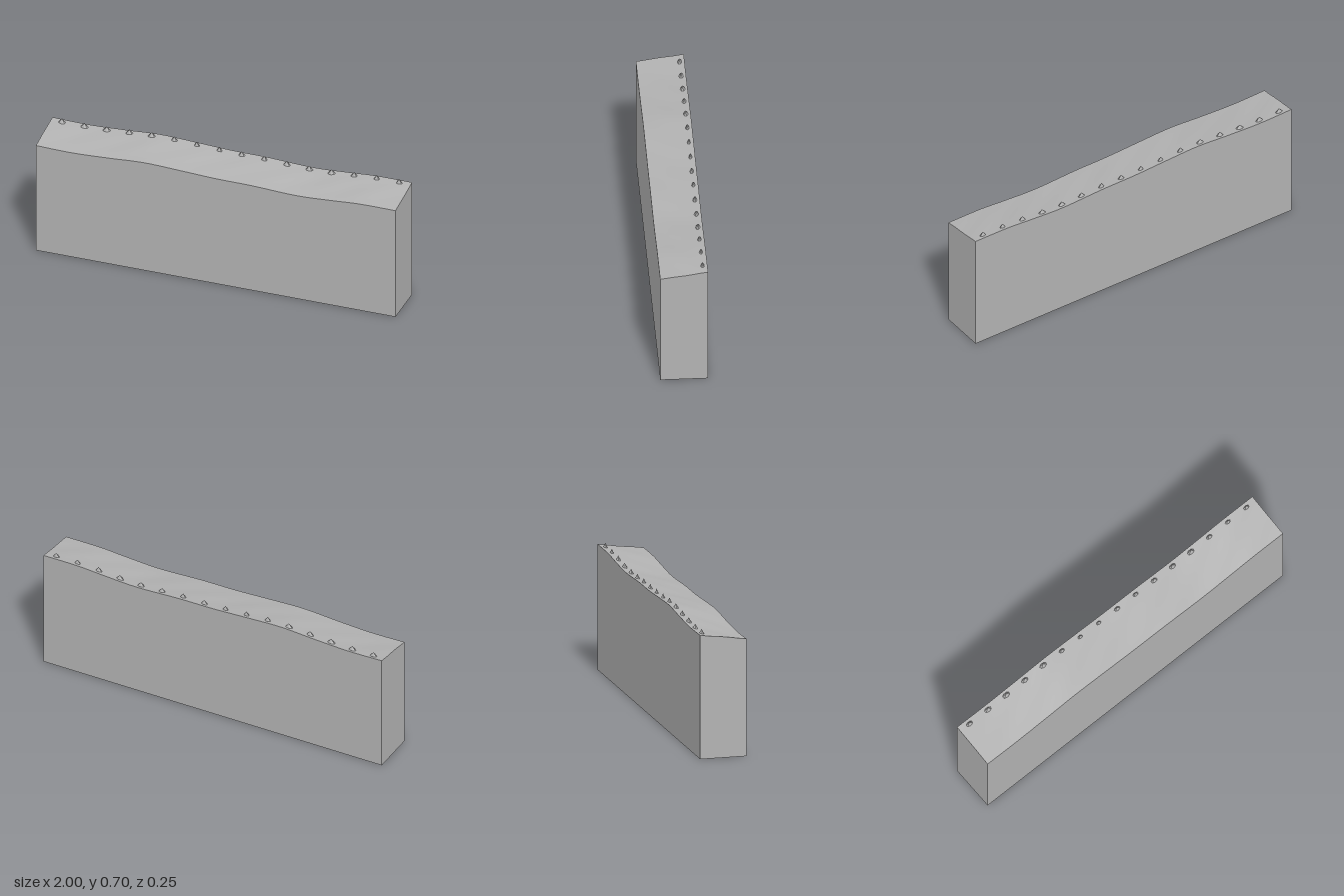
import * as THREE from 'three';
import { toCreasedNormals } from 'three/addons/utils/BufferGeometryUtils.js';

const DEPTH = 0.25;

// Gently rolling front edge of the top, from left to right
const ridge = new THREE.SplineCurve([
  [-1, 0.631], [-0.8, 0.627], [-0.6, 0.636], [-0.4, 0.648], [-0.2, 0.641], [0, 0.632],
  [0.2, 0.63], [0.45, 0.62], [0.65, 0.63], [0.8, 0.64], [1, 0.64],
].map(([x, y]) => new THREE.Vector2(x, y)));
const ridgePoints = ridge.getPoints(200);

// Height of the sloping top: it rises toward the back with faint diagonal ripples
function groundHeight(x, z) {
  let i = 1;
  while (i < 200 && ridgePoints[i].x < x) i++;
  const a = ridgePoints[i - 1], b = ridgePoints[i];
  const y = THREE.MathUtils.mapLinear(x, a.x, b.x, a.y, b.y);
  const t = 0.5 - z / DEPTH;
  return y + 0.035 * t + 0.0015 * Math.sin(t * Math.PI) * Math.sin(24 * x + 28 * z);
}

export function createModel() {
  const group = new THREE.Group();
  const grey = new THREE.MeshStandardMaterial({ color: 0xb2b2b2 });
  grey.name = 'stone grey';

  // Tall block with a rolling, sloping top
  const block = new THREE.BoxGeometry(2, 1, DEPTH, 48, 1, 8);
  const p = block.attributes.position;
  for (let i = 0; i < p.count; i++) {
    p.setY(i, p.getY(i) > 0 ? groundHeight(p.getX(i), p.getZ(i)) : 0);
  }
  const bank = new THREE.Mesh(toCreasedNormals(block, 0.4), grey);
  bank.name = 'bank';
  group.add(bank);

  // Row of small pointed tufts along the back edge
  const tufts = new THREE.Group();
  tufts.name = 'tufts';
  const widths = [1, 1.05, 1.1, 1, 1.05, 0.85, 0.75, 0.75, 0.9, 0.8, 0.95, 1, 1.05, 0.9, 0.8, 0.85];
  const cone = new THREE.ConeGeometry(0.025, 0.032, 7, 1).toNonIndexed();
  cone.computeVertexNormals();
  widths.forEach((w, i) => {
    const tuft = new THREE.Mesh(cone, grey);
    tuft.name = 'tuft' + (i + 1);
    const x = -0.9375 + i * 0.125;
    tuft.scale.set(w, 0.9, 0.58 * w);
    tuft.position.set(x, groundHeight(x, -0.1) + 0.009, -0.1);
    tufts.add(tuft);
  });
  group.add(tufts);
  return group;
}
